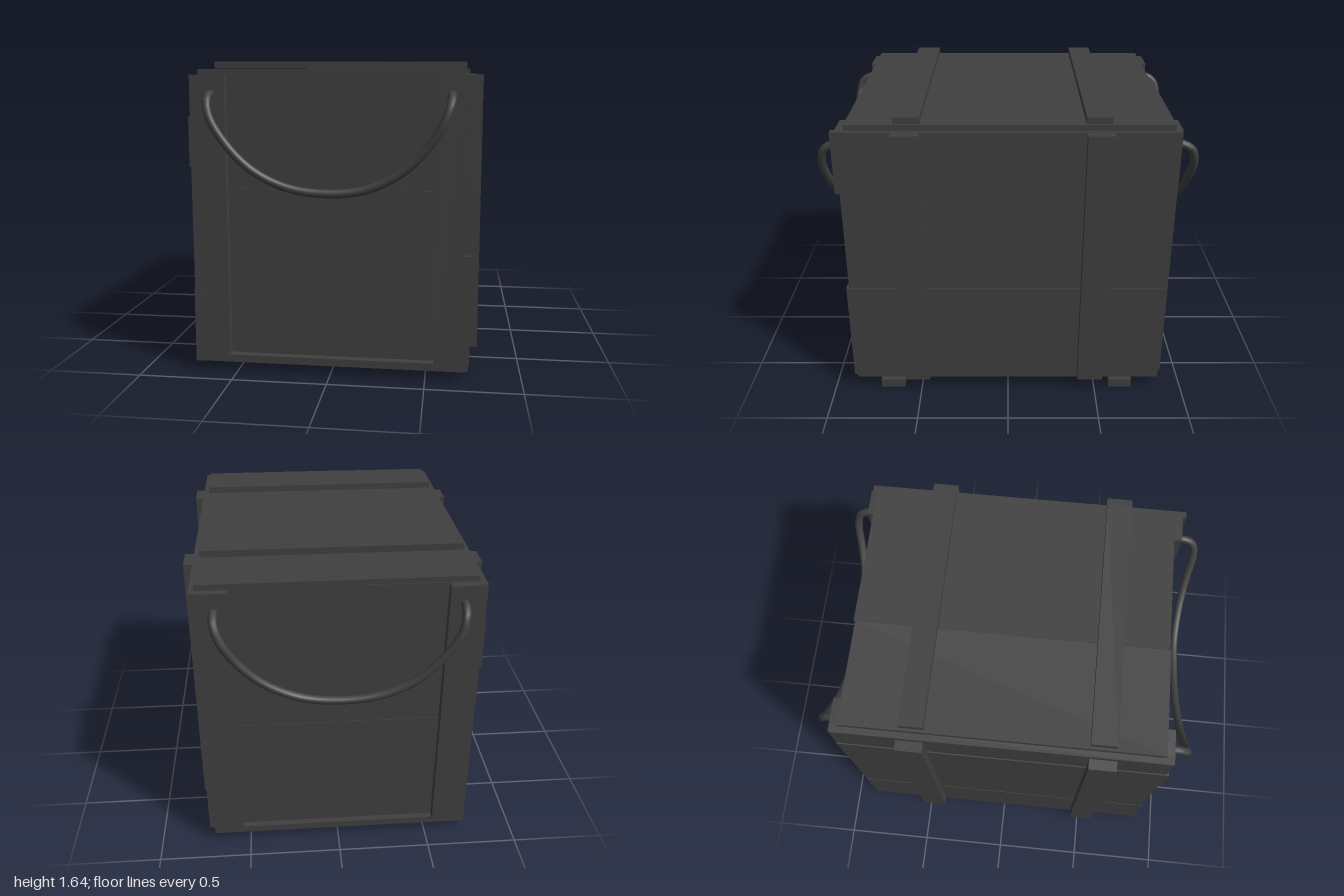
import * as THREE from 'three';

const wood = new THREE.MeshStandardMaterial({ color: 0x404040 });

export function createModel() {
  const crate = new THREE.Group();
  crate.name = 'crate';

  // Box given by its minimum and maximum on each axis
  const board = (name, x0, x1, y0, y1, z0, z1) => {
    const mesh = new THREE.Mesh(new THREE.BoxGeometry(x1 - x0, y1 - y0, z1 - z0), wood);
    mesh.position.set((x0 + x1) / 2, (y0 + y1) / 2, (z0 + z1) / 2);
    mesh.name = name;
    crate.add(mesh);
  };

  // Floor and the two skids beneath it
  board('floor', -0.69, 0.7, 0.05, 0.09, -0.87, 0.875);
  board('frontSkid', -0.705, 0.725, 0, 0.05, 0.6, 0.735);
  board('backSkid', -0.705, 0.725, 0, 0.05, -0.715, -0.585);

  // Lid planks and lid battens
  board('lidPlankRight', -0.69, -0.12, 1.575, 1.603, -0.835, 0.83);
  board('lidPlankLeft', -0.12, 0.7, 1.575, 1.606, -0.843, 0.825);
  board('frontLidBatten', -0.675, 0.69, 1.606, 1.642, 0.445, 0.58);
  board('backLidBatten', -0.675, 0.69, 1.606, 1.642, -0.525, -0.395);

  // End planks, stacked between the listed heights with slightly varying faces
  const frontRows = [0.09, 0.81, 0.99, 1.575];
  const backRows = [0.09, 0.47, 0.77, 1.04, 1.575];
  for (let i = 0; i < frontRows.length - 1; i++) {
    board('frontPlank', -0.68, 0.69, frontRows[i], frontRows[i + 1], 0.79, 0.83 + (i % 2) * 0.004);
  }
  for (let i = 0; i < backRows.length - 1; i++) {
    board('backPlank', -0.68, 0.69, backRows[i], backRows[i + 1], -0.836 - (i % 2) * 0.004, -0.79);
  }

  // Side planks: [bottom, top, back z, front z, outer x]
  const leftSide = [
    [0.09, 0.67, -0.865, 0.885, 0.727],
    [0.67, 1.24, -0.87, 0.87, 0.723],
    [1.24, 1.575, -0.875, 0.893, 0.728],
  ];
  const rightSide = [
    [0.05, 0.45, -0.87, 0.88, -0.726],
    [0.45, 1.1, -0.865, 0.875, -0.724],
    [1.1, 1.36, -0.878, 0.882, -0.73],
    [1.36, 1.575, -0.875, 0.87, -0.724],
  ];
  for (const [y0, y1, z0, z1, x] of leftSide) board('leftPlank', 0.69, x, y0, y1, z0, z1);
  for (const [y0, y1, z0, z1, x] of rightSide) board('rightPlank', x, -0.68, y0, y1, z0, z1);

  // Upright battens on both sides
  for (const [z0, z1] of [[0.447, 0.59], [-0.538, -0.397]]) {
    board('leftBatten', 0.72, 0.775, 0.09, 1.573, z0, z1);
    board('rightBatten', -0.778, -0.72, 0.09, 1.54, z0, z1);
  }

  // Corner posts on the front and back
  for (const [z0, z1] of [[0.82, 0.873], [-0.882, -0.826]]) {
    board('rightPost', -0.72, -0.54, 0.09, 1.572, z0, z1);
    board('leftPost', 0.543, 0.69, 0.09, 1.575, z0, z1);
  }

  // Hanging rope handles, mirrored front to back
  const path = [
    [-0.615, 1.475, 0.85], [-0.615, 1.472, 0.9], [-0.61, 1.44, 0.95], [-0.59, 1.36, 0.974],
    [-0.5, 1.22, 0.978], [-0.37, 1.095, 0.973], [-0.2, 1.013, 0.963], [0, 0.985, 0.952],
    [0.2, 1.008, 0.946], [0.38, 1.1, 0.954], [0.5, 1.22, 0.967], [0.585, 1.36, 0.978],
    [0.612, 1.44, 0.955], [0.615, 1.472, 0.9], [0.615, 1.475, 0.85],
  ];
  for (const s of [1, -1]) {
    const curve = new THREE.CatmullRomCurve3(path.map(([x, y, z]) => new THREE.Vector3(x, y, z * s)));
    const rope = new THREE.Mesh(new THREE.TubeGeometry(curve, 72, 0.022, 12), wood);
    rope.name = s > 0 ? 'frontRopeHandle' : 'backRopeHandle';
    crate.add(rope);
  }

  return crate;
}
